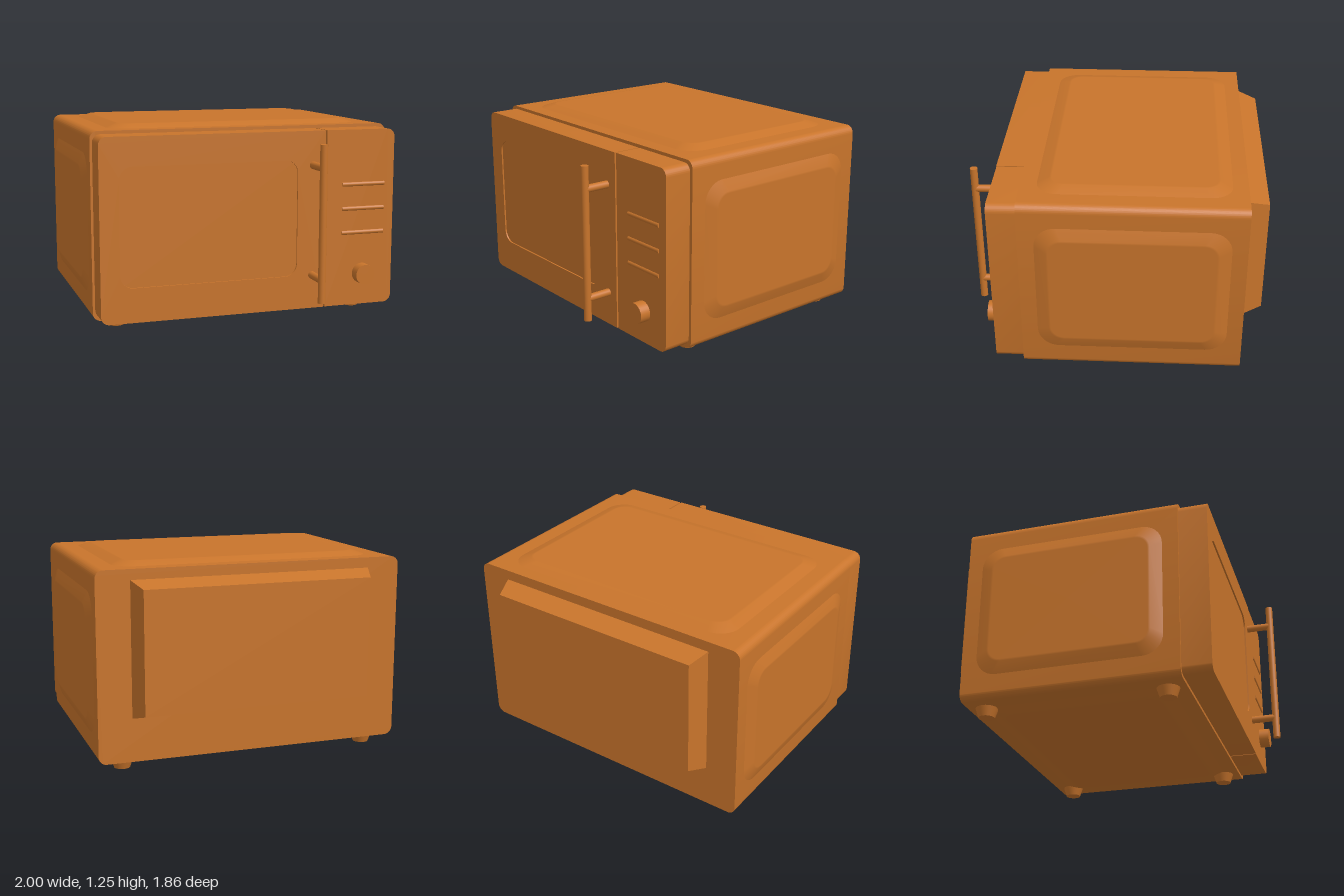
import * as THREE from 'three';
import { toCreasedNormals } from 'three/addons/utils/BufferGeometryUtils.js';

const material = new THREE.MeshStandardMaterial({ color: 0xc8742b });

function add(parent, name, geometry, x = 0, y = 0, z = 0) {
  const mesh = new THREE.Mesh(geometry, material);
  mesh.name = name;
  mesh.position.set(x, y, z);
  parent.add(mesh);
  return mesh;
}

// Rectangle with separate radii for its left and right corners
function roundRect(x0, y0, x1, y1, left, right = left, target = new THREE.Shape()) {
  const h = Math.PI / 2;
  target.moveTo(x0 + left, y0);
  target.lineTo(x1 - right, y0);
  if (right) target.absarc(x1 - right, y0 + right, right, -h, 0);
  target.lineTo(x1, y1 - right);
  if (right) target.absarc(x1 - right, y1 - right, right, 0, h);
  target.lineTo(x0 + left, y1);
  if (left) target.absarc(x0 + left, y1 - left, left, h, 2 * h);
  target.lineTo(x0, y0 + left);
  if (left) target.absarc(x0 + left, y0 + left, left, 2 * h, 3 * h);
  return target;
}

function slab(shape, depth, curveSegments = 8) {
  const g = new THREE.ExtrudeGeometry(shape, { depth, bevelEnabled: false, curveSegments });
  return toCreasedNormals(g, 0.6);
}

// Pressed sheet panel: rounded rings rising along +z to a flat middle
function pressing(w, h, height) {
  const rings = [[0, 0, 0.13], [0.072, height, 0.09], [0.085, height, 0.08]];
  const steps = 8, count = 4 * (steps + 1);
  const positions = [], index = [];
  for (const [inset, z, r] of rings) {
    for (let c = 0; c < 4; c++) {
      const sx = c === 0 || c === 3 ? 1 : -1, sy = c < 2 ? 1 : -1;
      for (let i = 0; i <= steps; i++) {
        const a = (c + i / steps) * Math.PI / 2;
        positions.push(sx * (w - inset - r) + r * Math.cos(a), sy * (h - inset - r) + r * Math.sin(a), z);
      }
    }
  }
  positions.push(0, 0, height);
  const centre = rings.length * count;
  for (let i = 0; i < count; i++) {
    const j = (i + 1) % count;
    for (let k = 0; k < rings.length - 1; k++) {
      const a = k * count + i, b = k * count + j;
      index.push(a, b, b + count, a, b + count, a + count);
    }
    index.push(2 * count + i, 2 * count + j, centre);
  }
  const g = new THREE.BufferGeometry();
  g.setAttribute('position', new THREE.Float32BufferAttribute(positions, 3));
  g.setIndex(index);
  g.computeVertexNormals();
  return g;
}

export function createModel() {
  const model = new THREE.Group();
  model.name = 'microwaveOven';

  // Casing
  add(model, 'casing', slab(roundRect(-0.975, 0.06, 0.975, 1.23, 0.05), 1.365), 0, 0, -0.8);

  // Pressed panels on the top, bottom and both sides
  const flat = pressing(0.83, 0.585, 0.025), side = pressing(0.585, 0.437, 0.025);
  add(model, 'topPressing', flat, 0, 1.23, -0.12).rotation.x = -Math.PI / 2;
  add(model, 'bottomPressing', flat, 0, 0.06, -0.12).rotation.x = Math.PI / 2;
  add(model, 'leftPressing', side, 0.975, 0.645, -0.12).rotation.y = Math.PI / 2;
  add(model, 'rightPressing', side, -0.975, 0.645, -0.12).rotation.y = -Math.PI / 2;

  // Tapered rear housing
  const rear = new THREE.BoxGeometry(1.53, 0.835, 0.13);
  const p = rear.attributes.position;
  for (let i = 0; i < p.count; i++) {
    if (p.getZ(i) < 0) p.setXY(i, p.getX(i) * 0.941, p.getY(i) * 0.904);
  }
  rear.computeVertexNormals();
  add(model, 'rearHousing', rear, 0, 0.748, -0.865);

  // Door frame with a shallow recessed window
  const doorShape = roundRect(-0.96, 0.08, 0.48, 1.21, 0.05, 0);
  doorShape.holes.push(roundRect(-0.84, 0.295, 0.295, 1.03, 0.08, 0.08, new THREE.Path()));
  add(model, 'doorFrame', slab(doorShape, 0.18, 4), 0, 0, 0.565);
  add(model, 'window', new THREE.BoxGeometry(1.15, 0.75, 0.165), -0.2725, 0.6625, 0.6525);

  // Control panel with button bars and a dial
  add(model, 'controlPanel', slab(roundRect(0.49, 0.08, 0.955, 1.21, 0, 0.05), 0.177), 0, 0, 0.565);
  for (const y of [0.552, 0.707, 0.863]) {
    add(model, 'buttonBar', new THREE.CylinderGeometry(0.015, 0.015, 0.29, 16), 0.745, y, 0.735).rotation.z = Math.PI / 2;
  }
  add(model, 'dial', new THREE.CylinderGeometry(0.065, 0.065, 0.075, 32), 0.743, 0.285, 0.772).rotation.x = Math.PI / 2;

  // Door handle on two posts
  const handle = new THREE.Group();
  handle.name = 'doorHandle';
  handle.position.x = 0.397;
  add(handle, 'handleBar', new THREE.CylinderGeometry(0.024, 0.024, 0.99, 20), 0, 0.645, 0.906);
  for (const y of [0.295, 0.995]) {
    add(handle, 'handlePost', new THREE.CylinderGeometry(0.024, 0.024, 0.165, 20), 0, y, 0.8225).rotation.x = Math.PI / 2;
  }
  model.add(handle);

  // Feet
  const foot = new THREE.CylinderGeometry(0.07, 0.05, 0.06, 24);
  for (const x of [-0.807, 0.807]) {
    for (const z of [0.45, -0.69]) add(model, 'foot', foot, x, 0.03, z);
  }

  return model;
}
